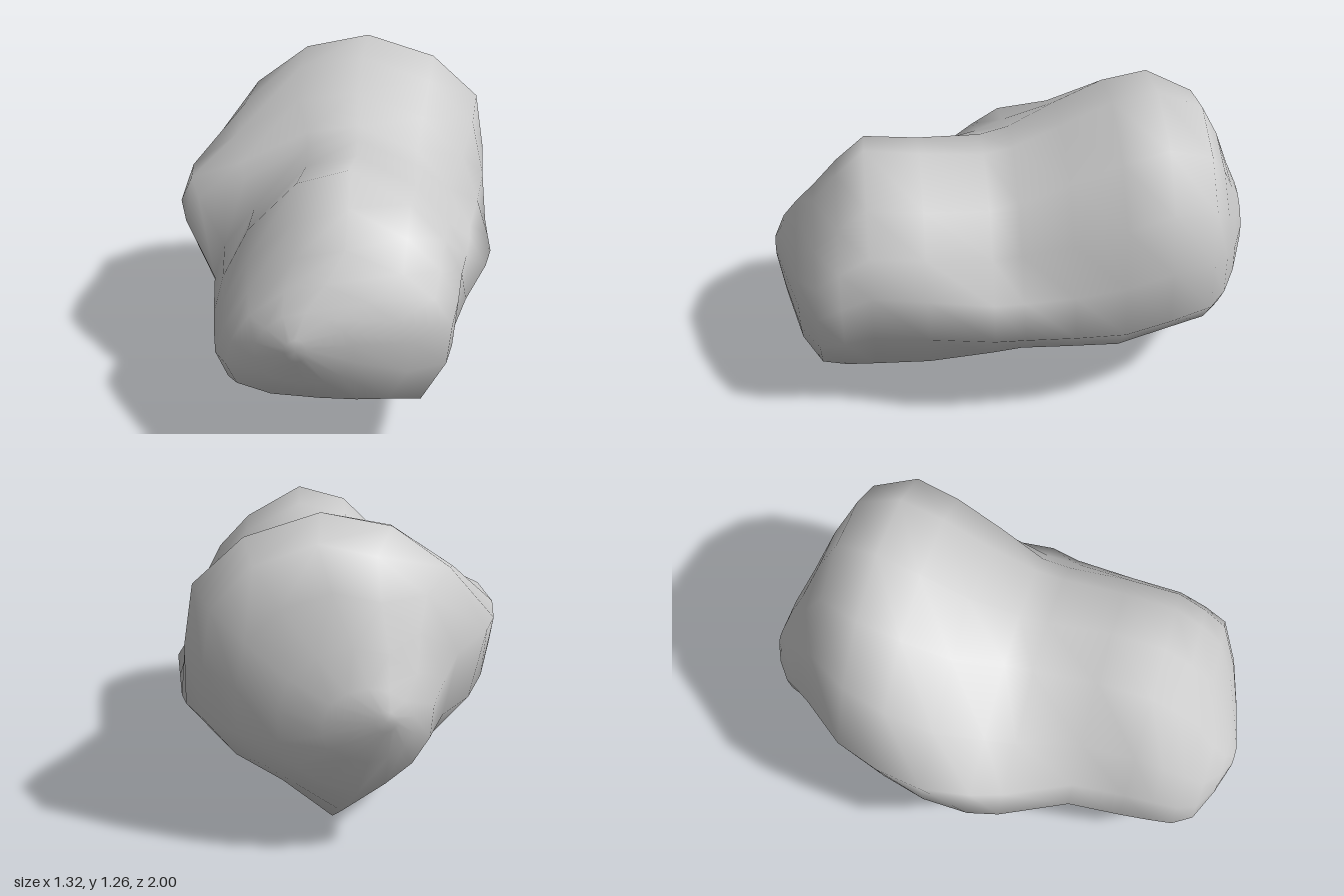
import * as THREE from 'three';

// Outlines seen from the front, counter-clockwise from the lowest point.
const rearOutline = [
  [.00, 0], [.25, .18], [.48, .31], [.63, .47], [.63, .71], [.59, .96], [.38, 1.14],
  [.07, 1.23], [-.22, 1.17], [-.46, 1.0], [-.62, .74], [-.55, .46], [-.38, .29], [-.18, .13],
];
const waistOutline = [
  [.08, .14], [.28, .20], [.46, .29], [.66, .50], [.56, .60], [.46, .76], [.34, .92],
  [.10, 1.02], [-.10, .99], [-.38, .85], [-.60, .79], [-.66, .70], [-.53, .47], [-.36, .30],
];
const noseOutline = [
  [.06, .23], [.25, .22], [.41, .21], [.51, .43], [.53, .65], [.46, .79], [.33, .93],
  [.10, 1.06], [-.10, 1.0], [-.29, .80], [-.39, .60], [-.43, .44], [-.38, .30], [-.20, .24],
];
// Round outline for both ends
const tipOutline = rearOutline.map((_, j, all) => {
  const angle = j / all.length * Math.PI * 2;
  return [Math.sin(angle), -Math.cos(angle)];
});
const outlines = [tipOutline, rearOutline, waistOutline, noseOutline, tipOutline];

// Stations along the rock: z, left x, right x, bottom y, top y, position in the outline list.
const stations = [
  [-1.00, -.15, -.07, .54, .62, 0],
  [-.97, -.22, .12, .41, .70, .1],
  [-.91, -.30, .28, .25, .84, .4],
  [-.84, -.35, .43, .15, 1.03, .8],
  [-.76, -.41, .55, .09, 1.19, 1],
  [-.58, -.55, .62, .04, 1.26, 1],
  [-.40, -.61, .64, .00, 1.21, 1.2],
  [-.20, -.64, .65, .06, 1.11, 1.5],
  [.00, -.66, .66, .12, 1.03, 1.9],
  [.12, -.62, .64, .15, 1.01, 2.2],
  [.38, -.46, .56, .20, 1.04, 2.75],
  [.60, -.43, .54, .21, 1.06, 3],
  [.72, -.41, .53, .21, .95, 3],
  [.82, -.39, .51, .22, .83, 3],
  [.90, -.34, .36, .25, .72, 3.2],
  [.96, -.22, .15, .34, .63, 3.7],
  [1.00, -.10, -.02, .45, .54, 4],
];

// Rescale an outline to the unit square
function normalise(outline) {
  const box = new THREE.Box2().setFromPoints(outline.map(([x, y]) => new THREE.Vector2(x, y)));
  const size = box.getSize(new THREE.Vector2());
  return outline.map(([x, y]) => [(x - box.min.x) / size.x, (y - box.min.y) / size.y]);
}

function rockGeometry() {
  const shapes = outlines.map(normalise);
  const n = rearOutline.length;
  const positions = [];
  const index = [];

  // Blend outlines and fit each one to its station
  for (const [z, left, right, bottom, top, blend] of stations) {
    const k = Math.min(Math.floor(blend), shapes.length - 2);
    const ring = shapes[k].map(([x, y], j) => [
      THREE.MathUtils.lerp(x, shapes[k + 1][j][0], blend - k),
      THREE.MathUtils.lerp(y, shapes[k + 1][j][1], blend - k),
    ]);
    for (const [x, y] of normalise(ring)) {
      positions.push(left + x * (right - left), bottom + y * (top - bottom), z);
    }
  }

  // Skin between stations
  const last = stations.length - 1;
  for (let i = 0; i < last; i++) {
    for (let j = 0; j < n; j++) {
      const a = i * n + j, b = i * n + (j + 1) % n;
      index.push(a, b, b + n, a, b + n, a + n);
    }
  }

  // Small end caps
  for (const i of [0, last]) {
    const [z, left, right, bottom, top] = stations[i];
    const centre = positions.length / 3;
    positions.push((left + right) / 2, (bottom + top) / 2, z);
    for (let j = 0; j < n; j++) {
      const a = i * n + j, b = i * n + (j + 1) % n;
      if (i === 0) index.push(centre, b, a);
      else index.push(centre, a, b);
    }
  }

  const geometry = new THREE.BufferGeometry();
  geometry.setAttribute('position', new THREE.Float32BufferAttribute(positions, 3));
  geometry.setIndex(index);
  geometry.computeVertexNormals();
  return geometry;
}

export function createModel() {
  const group = new THREE.Group();
  group.name = 'boulder';
  const rock = new THREE.Mesh(rockGeometry(), new THREE.MeshStandardMaterial({ color: 0xcccccc }));
  rock.name = 'rock';
  group.add(rock);
  return group;
}
